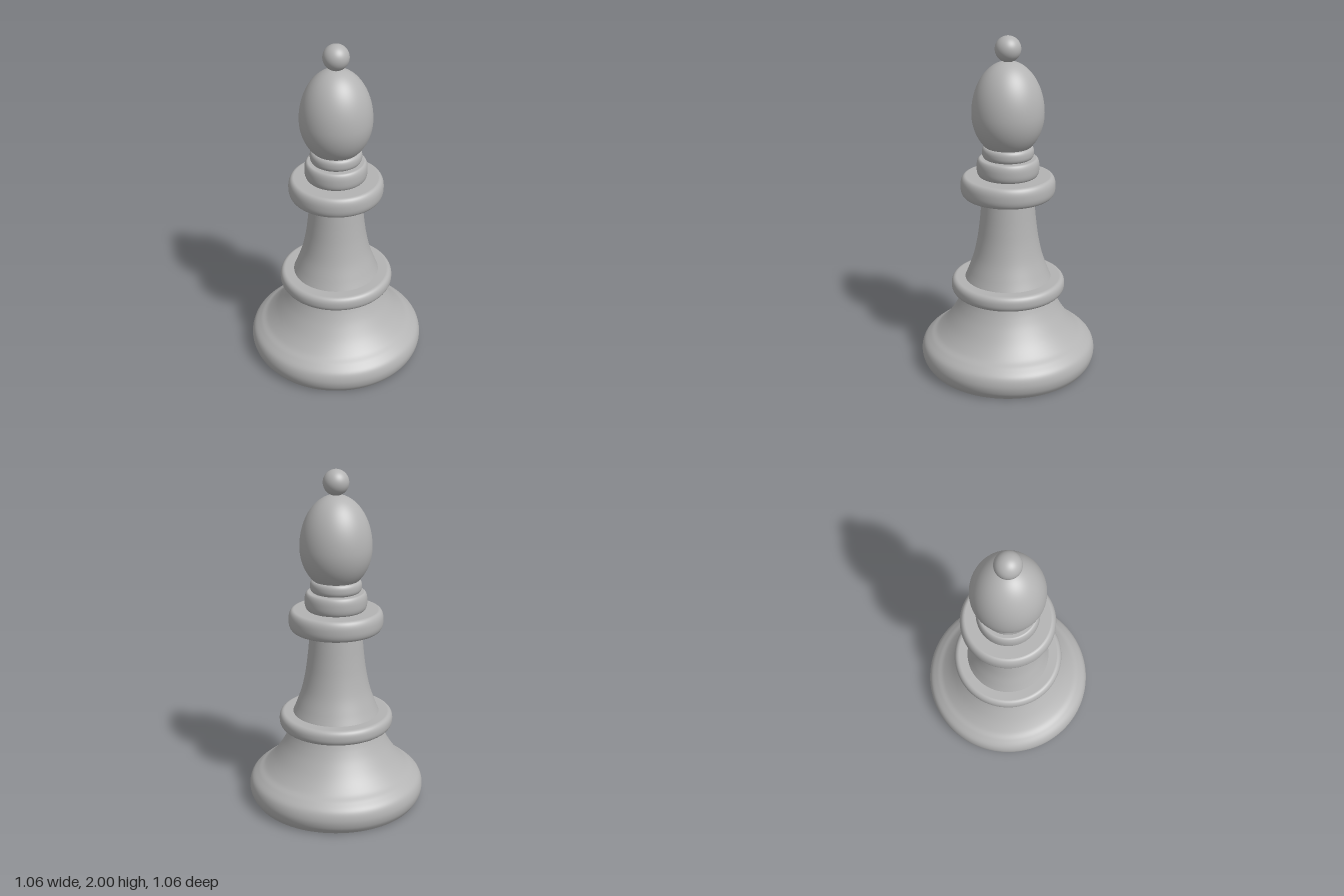
import * as THREE from 'three';
import { mergeGeometries } from 'three/addons/utils/BufferGeometryUtils.js';

const SIDES = 96;
const v = (x, y) => new THREE.Vector2(x, y);

// Smooth curve through [radius, height] pairs
const smooth = (pairs, n = 40) => new THREE.SplineCurve(pairs.map(([x, y]) => v(x, y))).getPoints(n);

// Points from a rule of t in 0..1
const sample = (n, rule) => Array.from({ length: n + 1 }, (_, i) => v(...rule(i / n)));

export function createModel() {
  const group = new THREE.Group();
  const grey = new THREE.MeshStandardMaterial({ color: 0xb3b3b3 });
  grey.name = 'grey';

  // Turn several profiles into one part; edges between profiles stay sharp
  function turned(name, ...profiles) {
    const geometry = mergeGeometries(profiles.map((p) => new THREE.LatheGeometry(p, SIDES)));
    const mesh = new THREE.Mesh(geometry, grey);
    mesh.name = name;
    group.add(mesh);
  }

  // Flat-faced ring with a rounded rim
  function collar(name, y0, y1, radius, round, inner) {
    const mid = (y0 + y1) / 2, half = (y1 - y0) / 2;
    const rim = sample(20, (t) => {
      const a = (t - 0.5) * Math.PI;
      const s = Math.sin(a);
      return [radius - round + round * Math.max(0, Math.cos(a)), mid + half * Math.sign(s) * Math.abs(s) ** 0.85];
    });
    turned(name, [v(inner, y0), v(radius - round, y0)], rim, [v(radius - round, y1), v(inner, y1)]);
  }

  // Base: hollow underside, flat foot, swelling rim and flare
  turned('base',
    sample(16, (t) => [0.31 * Math.sin(t * Math.PI / 2), 0.2 * Math.cos(t * Math.PI / 2)]),
    [v(0.31, 0), v(0.495, 0)],
    smooth([[0.495, 0], [0.52, 0.04], [0.529, 0.09], [0.515, 0.14], [0.475, 0.178],
      [0.43, 0.21], [0.375, 0.27], [0.325, 0.345], [0.293, 0.41], [0.272, 0.47]], 60));

  collar('lowerCollar', 0.467, 0.557, 0.34, 0.03, 0.2);

  // Tapering stem
  turned('stem', smooth([[0.257, 0.555], [0.235, 0.61], [0.204, 0.7], [0.182, 0.8],
    [0.168, 0.9], [0.158, 1.0], [0.151, 1.08]]));

  collar('upperCollar', 1.07, 1.192, 0.277, 0.03, 0.1);
  collar('neckRing', 1.192, 1.298, 0.182, 0.02, 0.1);
  collar('headRing', 1.298, 1.368, 0.15, 0.02, 0.05);

  // Egg-shaped head, blunter below its widest point
  turned('head', sample(48, (t) => {
    const a = -0.9 + t * (Math.PI / 2 + 0.9);
    return [0.208 * Math.max(0, Math.cos(a)), 1.56 + (a < 0 ? 0.25 : 0.3) * Math.sin(a)];
  }));

  // Finial ball
  const ball = new THREE.Mesh(new THREE.SphereGeometry(0.074, 48, 32), grey);
  ball.name = 'finial';
  ball.position.y = 1.926;
  group.add(ball);

  return group;
}
